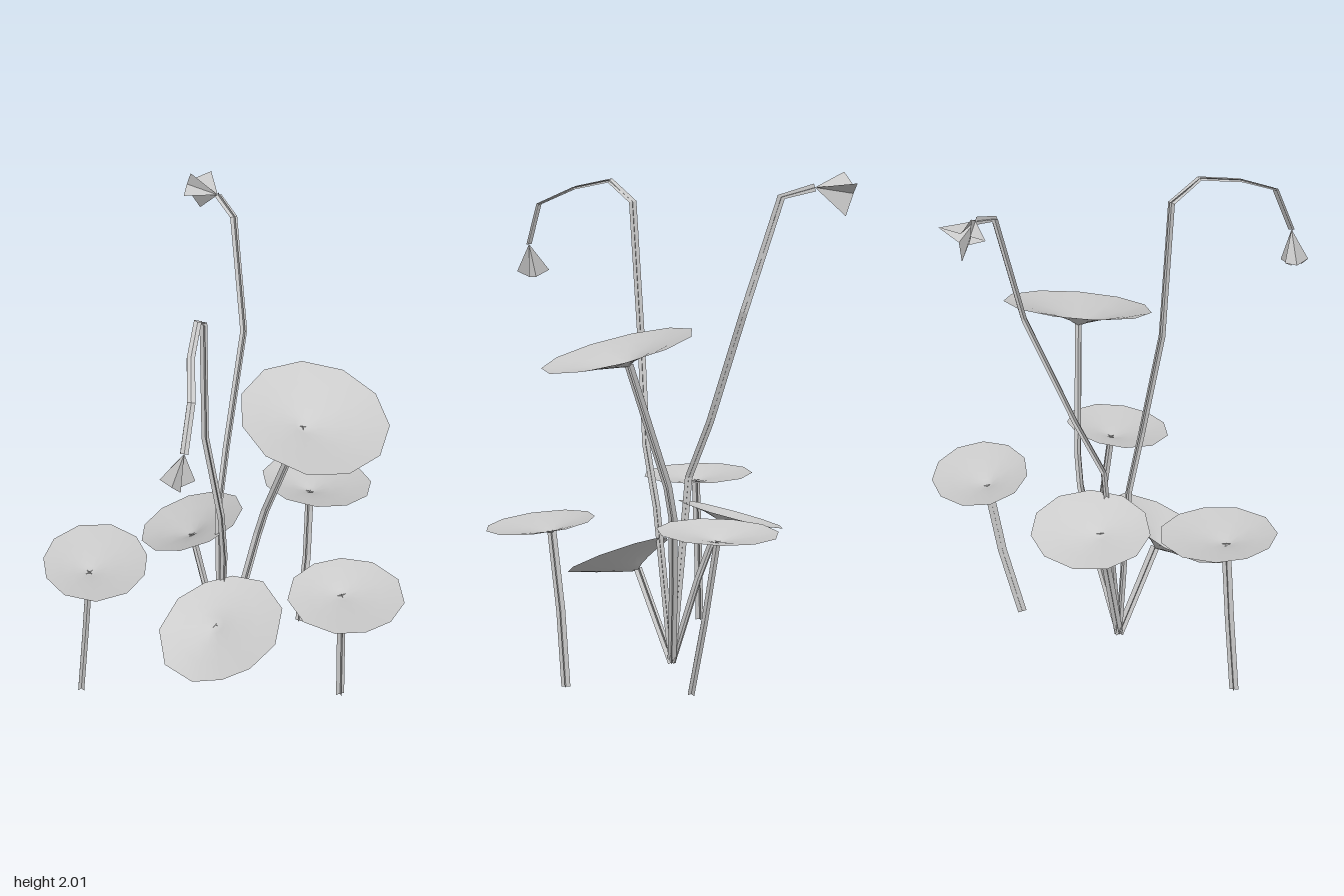
import * as THREE from 'three';

const smoothMat = new THREE.MeshStandardMaterial({ color: 0xcccccc, side: THREE.DoubleSide });
const flatMat = new THREE.MeshStandardMaterial({ color: 0xcccccc, side: THREE.DoubleSide, flatShading: true });
const V = (x, y, z) => new THREE.Vector3(x, y, z);

function makeMesh(name, points, index, material) {
  const geo = new THREE.BufferGeometry().setFromPoints(points);
  geo.setIndex(index);
  geo.computeVertexNormals();
  const mesh = new THREE.Mesh(geo, material);
  mesh.name = name;
  return mesh;
}

// Stem: two thin strips crossing at right angles along a path
function stem(name, path, angle, width) {
  const points = [], index = [];
  for (let strip = 0; strip < 2; strip++) {
    const a = angle + strip * Math.PI / 2;
    const side = V(Math.cos(a), 0, Math.sin(a));
    path.forEach((p, i) => {
      const t = path[Math.min(i + 1, path.length - 1)].clone().sub(path[Math.max(i - 1, 0)]).normalize();
      side.addScaledVector(t, -side.dot(t)).normalize();
      const k = points.length;
      for (const s of [-0.5, 0.5]) points.push(p.clone().addScaledVector(side, s * width));
      if (i) index.push(k - 2, k - 1, k, k - 1, k + 1, k);
    });
  }
  return makeMesh(name, points, index, flatMat);
}

// Leaf: funnel from an oval, skewed rim on a tilted plane down to an off-centre pit
function leaf(name, pit, { x, z, rx, rz, skew = 0, dir = 0, rimY, slopeX, slopeZ }) {
  const sides = 11, rings = [0.12, 0.35, 0.65, 1];
  const points = [pit], index = [];
  rings.forEach((t, r) => {
    for (let i = 0; i < sides; i++) {
      const a = (i / sides) * Math.PI * 2 + dir;
      const grow = 1.02 + skew * Math.cos(2 * (a - dir));
      const dx = x + rx * grow * Math.cos(a) - pit.x;
      const dz = z + rz * grow * Math.sin(a) - pit.z;
      const rise = rimY + slopeX * dx + slopeZ * dz - pit.y;
      points.push(V(pit.x + dx * t, pit.y + rise * Math.pow(t, 0.7), pit.z + dz * t));
      const p = 1 + r * sides + i, q = 1 + r * sides + (i + 1) % sides;
      if (r === 0) index.push(0, q, p);
      else index.push(p - sides, q - sides, p, q - sides, q, p);
    }
  });
  return makeMesh(name, points, index, smoothMat);
}

// Flower: open star cone, four petal tips alternating with notches close to the axis
function flower(name, apex, end, firstTip, radii) {
  const axis = end.clone().sub(apex).normalize();
  const u = firstTip.clone().addScaledVector(axis, -firstTip.dot(axis)).normalize();
  const v = axis.clone().cross(u);
  const tips = radii.map((r, i) => apex.clone().lerp(end, 0.75)
    .addScaledVector(u, r * Math.cos(i * Math.PI / 2))
    .addScaledVector(v, r * Math.sin(i * Math.PI / 2)));
  const points = [apex], index = [];
  tips.forEach((tip, i) => {
    const notch = tip.clone().add(tips[(i + 1) % 4]).multiplyScalar(0.5).lerp(end, 0.6);
    points.push(tip, notch);
  });
  for (let i = 0; i < 8; i++) index.push(0, 1 + i, 1 + (i + 1) % 8);
  return makeMesh(name, points, index, flatMat);
}

export function createModel() {
  const model = new THREE.Group();
  model.name = 'waterPlant';
  const root = V(-0.13, 0, 0);

  // A leaf with its stem; the stem pokes slightly through the pit
  const addLeaf = (name, lowerStem, pit, angle, shape) => {
    model.add(leaf(name, pit, shape));
    model.add(stem(name + 'Stem', [...lowerStem, pit.clone().add(V(0, 0.008, 0))], angle, 0.036));
  };

  addLeaf('frontRightLeaf', [V(-0.54, 0.01, 0.45), V(-0.515, 0.33, 0.425)], V(-0.49, 0.64, 0.405), 0.2,
    { x: -0.48, z: 0.375, rx: 0.22, rz: 0.218, skew: 0.06, dir: 0.95, rimY: 0.685, slopeX: -0.03, slopeZ: -0.02 });
  addLeaf('rightLeaf', [root, V(-0.225, 0.35, -0.045)], V(-0.31, 0.58, -0.075), 0,
    { x: -0.337, z: -0.112, rx: 0.2, rz: 0.23, rimY: 0.63, slopeX: 0.3, slopeZ: 0 });
  addLeaf('backLeaf', [V(0.025, 0.01, -0.405), V(0.012, 0.32, -0.48)], V(-0.01, 0.63, -0.53), -0.18,
    { x: 0.005, z: -0.56, rx: 0.24, rz: 0.19, rimY: 0.685, slopeX: 0.06, slopeZ: 0.05 });
  addLeaf('leftLeaf', [V(0.408, 0.015, -0.095), V(0.415, 0.32, -0.07)], V(0.43, 0.62, -0.03), 0.7,
    { x: 0.465, z: -0.002, rx: 0.225, rz: 0.205, skew: 0.07, dir: -1, rimY: 0.665, slopeX: -0.06, slopeZ: -0.08 });
  addLeaf('lowFrontLeaf', [root], V(-0.055, 0.365, 0.148), 0.1,
    { x: 0.005, z: 0.205, rx: 0.222, rz: 0.225, skew: 0.13, dir: -0.75, rimY: 0.46, slopeX: -0.13, slopeZ: -0.49 });
  addLeaf('highLeaf', [root, V(-0.085, 0.33, -0.085), V(-0.04, 0.65, -0.155), V(-0.01, 0.78, -0.165)],
    V(0.16, 1.265, -0.16), 0.78,
    { x: 0.21, z: -0.162, rx: 0.285, rz: 0.29, rimY: 1.345, slopeX: -0.235, slopeZ: -0.09 });

  // Tall stem leaning back, with its flower held sideways
  const backApex = V(-0.446, 1.945, -0.508);
  model.add(stem('backFlowerStem', [root, V(-0.17, 0.78, -0.06), V(-0.2, 1.02, -0.17),
    V(-0.232, 1.47, -0.356), V(-0.335, 1.91, -0.448), backApex], 0.6, 0.03));
  model.add(flower('backFlower', backApex, V(-0.61, 1.935, -0.535), V(0, 1, 0.25), [0.065, 0.105, 0.105, 0.065]));

  // Tall stem arching forward, with its flower hanging down
  const frontApex = V(0.165, 1.67, 0.67);
  model.add(stem('frontFlowerStem', [root, V(-0.08, 0.65, 0.04), V(-0.06, 0.9, 0.09), V(-0.08, 1.33, 0.165),
    V(-0.06, 1.865, 0.195), V(-0.015, 1.945, 0.3), V(0.06, 1.91, 0.46), V(0.152, 1.84, 0.6), frontApex], 0.6, 0.03));
  model.add(flower('frontFlower', frontApex, V(0.13, 1.52, 0.695), V(-0.76, 0, -0.65), [0.07, 0.074, 0.068, 0.06]));

  return model;
}
